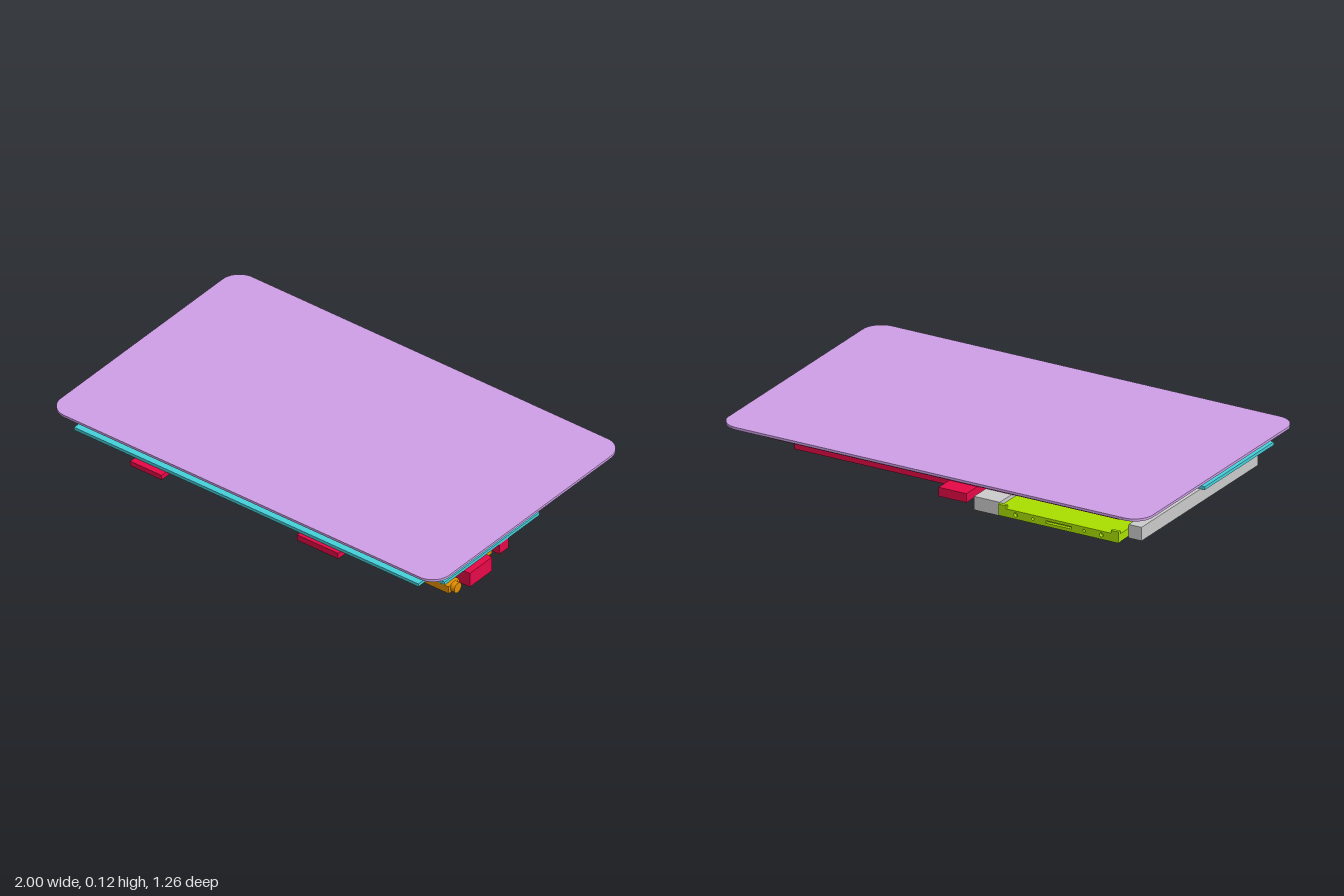
import * as THREE from 'three';

export function createModel() {
  const model = new THREE.Group();
  model.name = 'tabletInternals';
  const mat = (name, color) => {
    const m = new THREE.MeshStandardMaterial({ color });
    m.name = name;
    return m;
  };
  const purple = mat('purple', 0xcfa0e8);
  const blue = mat('blue', 0x2c46ee);
  const teal = mat('teal', 0x46d2dc);
  const red = mat('red', 0xea0848);
  const grey = mat('grey', 0xcccccc);
  const lime = mat('lime', 0xaae000);
  const gold = mat('gold', 0xf09600);

  const add = (name, geo, material) => {
    const mesh = new THREE.Mesh(geo, material);
    mesh.name = name;
    model.add(mesh);
    return mesh;
  };
  // Box given by its limits on each axis
  const box = (name, material, x0, x1, y0, y1, z0, z1) => {
    const geo = new THREE.BoxGeometry(x1 - x0, y1 - y0, z1 - z0);
    geo.translate((x0 + x1) / 2, (y0 + y1) / 2, (z0 + z1) / 2);
    return add(name, geo, material);
  };
  // Plan outline in x and z, extruded between two heights
  const slab = (name, material, shape, y0, y1) => {
    const geo = new THREE.ExtrudeGeometry(shape, { depth: y1 - y0, bevelEnabled: false, curveSegments: 10 });
    geo.rotateX(Math.PI / 2).translate(0, y1, 0);
    return add(name, geo, material);
  };
  const outline = pts => new THREE.Shape(pts.map(p => new THREE.Vector2(...p)));

  // Cover glass with rounded corners
  const [l, r, b, f, c] = [-1, 0.98, -0.614, 0.605, 0.085];
  const glass = new THREE.Shape();
  glass.moveTo(l + c, b);
  glass.lineTo(r - c, b).absarc(r - c, b + c, c, -Math.PI / 2, 0);
  glass.lineTo(r, f - c).absarc(r - c, f - c, c, 0, Math.PI / 2);
  glass.lineTo(l + c, f).absarc(l + c, f - c, c, Math.PI / 2, Math.PI);
  glass.lineTo(l, b + c).absarc(l + c, b + c, c, Math.PI, Math.PI * 1.5);
  slab('coverGlass', purple, glass, 0.111, 0.122);

  // Display and its driver sheet
  box('displayPanel', blue, -0.86, 0.82, 0.084, 0.111, -0.533, 0.57);
  box('displayDriver', red, -0.84, 0.8, 0.067, 0.084, -0.528, -0.185);

  // Circuit board, notched at both front corners
  slab('circuitBoard', teal, outline([
    [-0.98, -0.09], [0.96, -0.09], [0.96, 0.525], [0.885, 0.525], [0.885, 0.6],
    [-0.87, 0.6], [-0.87, 0.45], [-0.98, 0.45],
  ]), 0.067, 0.081);

  // Battery and board components
  box('battery', red, 0, 0.72, 0.008, 0.064, -0.452, 0.36);
  box('backConnector', red, -0.18, -0.05, 0.028, 0.067, -0.613, -0.35);
  box('frontConnectorRight', red, -0.56, -0.4, 0.045, 0.067, 0.46, 0.63);
  box('frontConnectorLeft', red, 0.28, 0.49, 0.04, 0.067, 0.36, 0.617);
  box('sidePort', red, 0.85, 0.99, 0, 0.067, 0.255, 0.4);
  box('smallPort', red, 0.86, 0.96, 0.02, 0.067, 0.11, 0.17);

  // Audio jack, switch and camera
  box('audioJack', gold, 0.86, 0.98, 0.033, 0.0665, 0.455, 0.525);
  const ring = new THREE.CylinderGeometry(0.023, 0.023, 0.022, 24);
  ring.rotateZ(Math.PI / 2).translate(0.989, 0.051, 0.49);
  add('audioJackRing', ring, gold);
  box('sideSwitch', gold, 0.87, 0.95, 0.04, 0.067, 0.205, 0.25);
  box('cameraBase', gold, -0.945, -0.89, 0.071, 0.096, 0.465, 0.525);
  const lens = new THREE.CylinderGeometry(0.02, 0.02, 0.01, 20);
  lens.translate(-0.917, 0.1, 0.495);
  add('cameraLens', lens, gold);

  // Stepped caddy, open at the back around the drive
  slab('driveCaddy', grey, outline([
    [-0.96, -0.55], [-0.9, -0.55], [-0.9, 0.26], [-0.34, 0.26], [-0.34, -0.62], [-0.22, -0.62],
    [-0.22, -0.29], [-0.25, -0.29], [-0.25, 0.06], [-0.31, 0.06], [-0.31, 0.41], [-0.93, 0.41],
    [-0.93, 0.36], [-0.96, 0.36],
  ]), 0.008, 0.067);

  // Drive with a raised underside panel
  box('drive', lime, -0.9, -0.34, 0.016, 0.05, -0.615, 0.26);
  box('drivePanel', lime, -0.86, -0.39, 0.012, 0.017, -0.56, 0.2);

  // Drilled end plate with taller tabs at its ends
  const end = outline([
    [-0.9, 0.014], [-0.34, 0.014], [-0.34, 0.063], [-0.375, 0.063],
    [-0.375, 0.05], [-0.865, 0.05], [-0.865, 0.063], [-0.9, 0.063],
  ]);
  for (const [x, rad] of [[-0.82, 0.009], [-0.74, 0.006], [-0.5, 0.006], [-0.42, 0.009]]) {
    const hole = new THREE.Path();
    hole.absarc(x, 0.033, rad, 0, Math.PI * 2, true);
    end.holes.push(hole);
  }
  const slot = new THREE.Path();
  slot.moveTo(-0.68, 0.028).lineTo(-0.68, 0.038).lineTo(-0.56, 0.038).lineTo(-0.56, 0.028).closePath();
  end.holes.push(slot);
  const endGeo = new THREE.ExtrudeGeometry(end, { depth: 0.015, bevelEnabled: false, curveSegments: 10 });
  endGeo.translate(0, 0, -0.63);
  add('driveEndPlate', endGeo, lime);

  return model;
}
